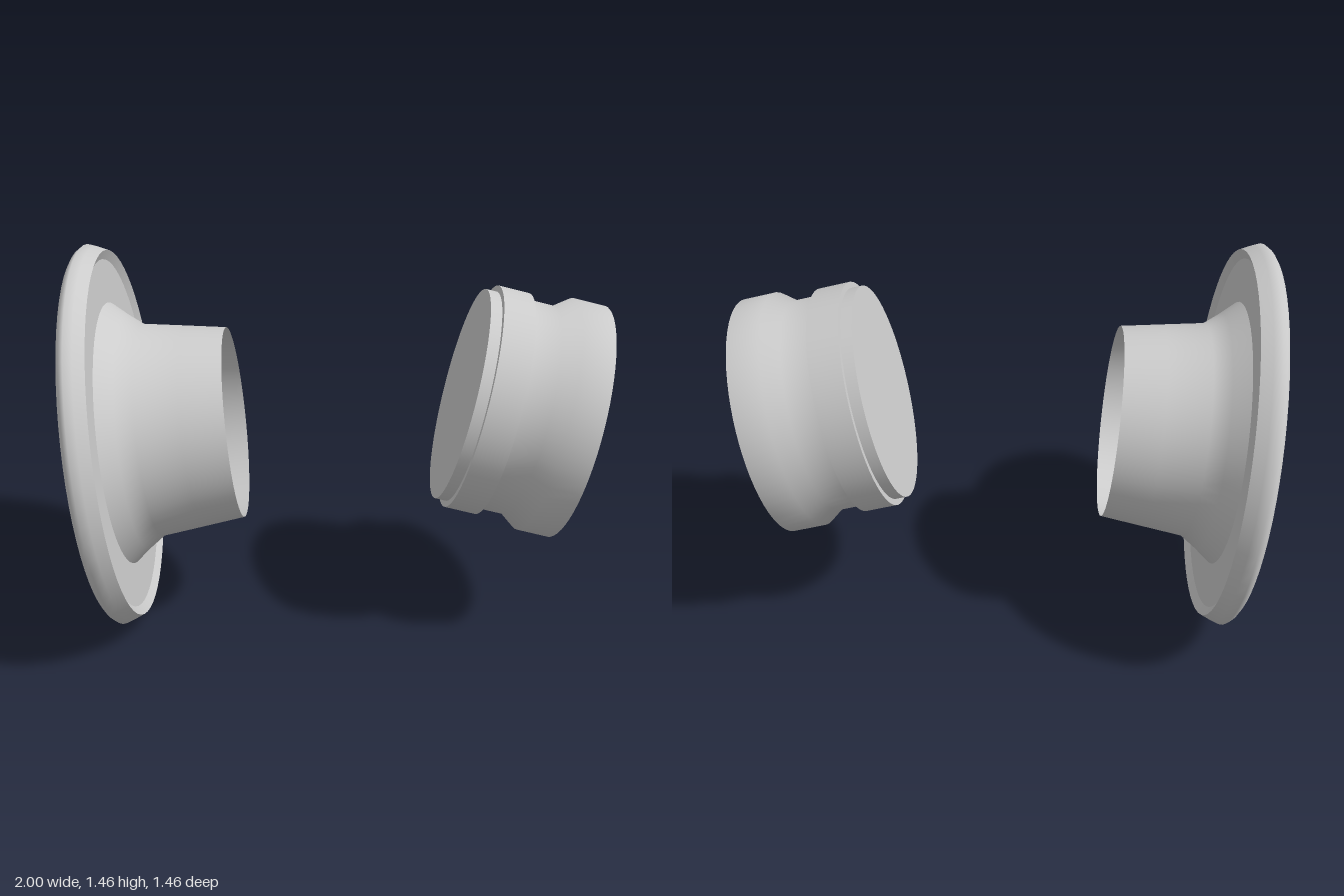
import * as THREE from 'three';

const gray = new THREE.MeshStandardMaterial({ color: 0xcccccc, side: THREE.DoubleSide });
gray.name = 'light gray';

// Builds a turned part; each profile is a list of [distance along axis, radius],
// smooth within itself and sharp where it meets the next one.
function turnedPart(name, profiles, centre, axis) {
  const part = new THREE.Group();
  part.name = name;
  for (const [label, points] of Object.entries(profiles)) {
    const outline = points.map(([s, r]) => new THREE.Vector2(r, s));
    const mesh = new THREE.Mesh(new THREE.LatheGeometry(outline, 64), gray);
    mesh.name = label;
    part.add(mesh);
  }
  part.position.set(centre[0], centre[1], 0);
  part.rotation.z = Math.atan2(-axis[0], axis[1]);
  return part;
}

export function createModel() {
  const model = new THREE.Group();
  model.name = 'flangeAndCap';

  // Dished flange with an open, tapering sleeve
  model.add(turnedPart('flange', {
    backDisc: [[0.08, 0], [0.08, 0.505]],
    backDish: [[0.08, 0.505], [0.04, 0.61], [0, 0.703]],
    rim: [[0, 0.703], [0.012, 0.72], [0.03, 0.732], [0.06, 0.721], [0.1, 0.703]],
    rimLip: [[0.1, 0.703], [0.08, 0.67]],
    frontFace: [[0.08, 0.67], [0.08, 0.505]],
    sleeve: [[0.08, 0.505], [0.14, 0.455], [0.2, 0.411], [0.36, 0.389], [0.518, 0.367]],
  }, [-0.93, 0.733], [0.995, 0.1]));

  // Closed cap with a raised band, a neck and a wider head
  model.add(turnedPart('cap', {
    innerFace: [[0, 0], [0, 0.411]],
    innerCollar: [[0, 0.411], [0.043, 0.411]],
    bandBackStep: [[0.043, 0.411], [0.043, 0.435]],
    band: [[0.043, 0.435], [0.164, 0.435]],
    bandFrontStep: [[0.164, 0.435], [0.164, 0.411]],
    neckAndHead: [[0.164, 0.411], [0.272, 0.411], [0.335, 0.457], [0.459, 0.457]],
    outerFace: [[0.459, 0.457], [0.459, 0]],
  }, [0.4425, 0.9], [0.97, -0.244]));

  return model;
}
